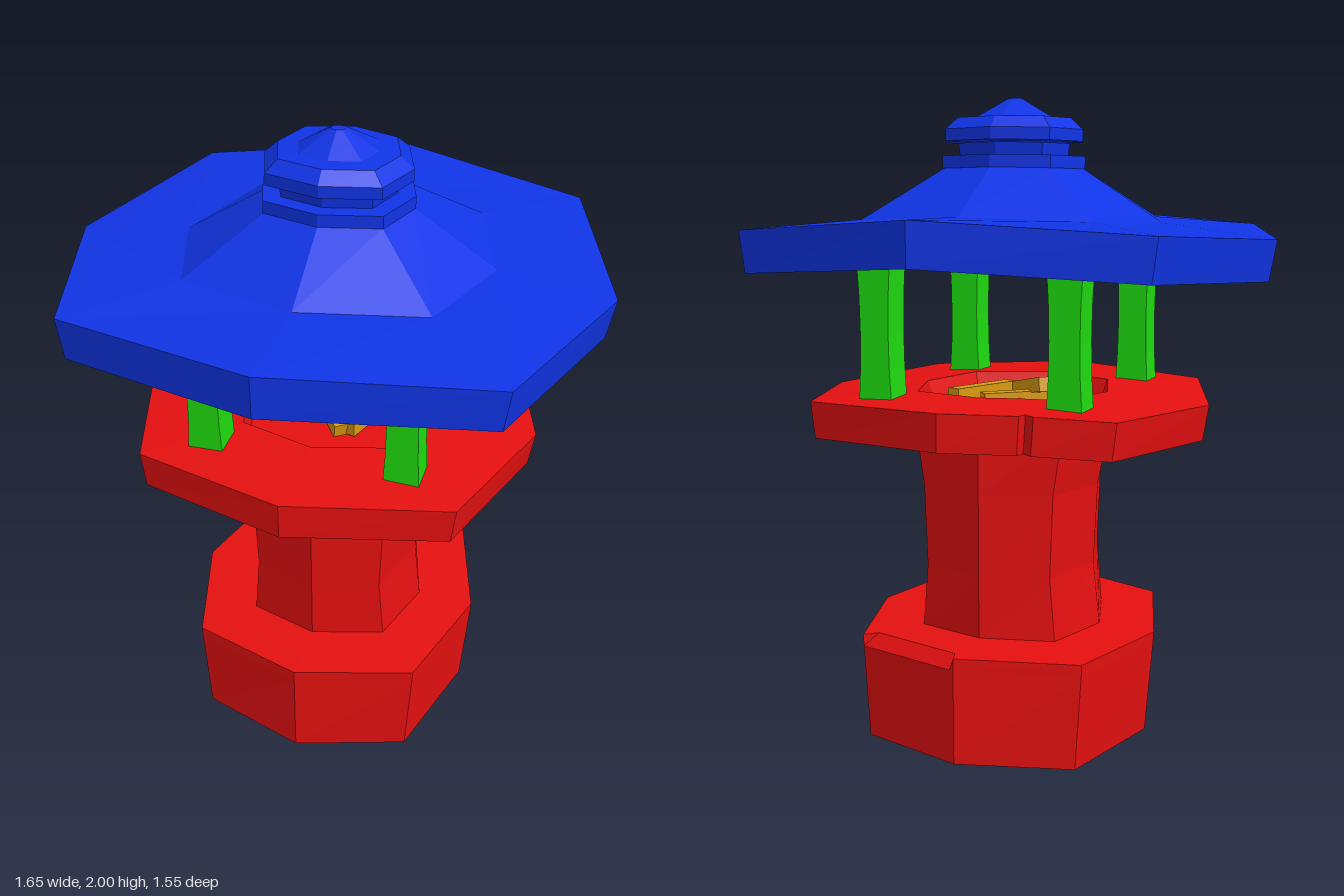
import * as THREE from 'three';

const mat = (color) => new THREE.MeshStandardMaterial({ color, flatShading: true });

// Octagon with corners on the axes
const D = 0.765;
const OCTAGON = [[1, 0], [D, D], [0, 1], [-D, D], [-1, 0], [-D, -D], [0, -1], [D, -D]];

// Octagon with extra points along one edge: each extra is [t, scale]
function splitEdge(edge, extras) {
  const a = OCTAGON[edge], b = OCTAGON[(edge + 1) % 8];
  const pts = extras.map(([t, s]) => [0, 1].map((k) => (a[k] + (b[k] - a[k]) * t) * s));
  return [...OCTAGON.slice(0, edge + 1), ...pts, ...OCTAGON.slice(edge + 1)];
}

// Stack rings [y, radiusX, radiusZ] of an outline; bend lowers points away from x = 0
function loft(name, rings, color, bend, outline = OCTAGON, tweak = null) {
  const n = outline.length, pos = [], idx = [];
  rings.forEach(([y, rx, rz], j) => outline.forEach(([u, v], i) => {
    const p = new THREE.Vector3(u * rx, y, v * rz);
    if (tweak) tweak(p, j, i);
    pos.push(p.x, p.y - bend * p.x * p.x, p.z);
  }));
  for (let j = 0; j < rings.length - 1; j++) {
    for (let i = 0; i < n; i++) {
      const a = j * n + i, b = j * n + (i + 1) % n, c = a + n, d = b + n;
      if (rings[j + 1][1] > 0) idx.push(b, c, d);
      if (rings[j][1] > 0) idx.push(a, c, b);
      else if (rings[j + 1][1] > 0) continue;
    }
  }
  let geo = new THREE.BufferGeometry();
  geo.setAttribute('position', new THREE.Float32BufferAttribute(pos, 3));
  geo.setIndex(idx);
  geo = geo.toNonIndexed();
  geo.computeVertexNormals();
  const mesh = new THREE.Mesh(geo, mat(color));
  mesh.name = name;
  return mesh;
}

export function createModel() {
  const group = new THREE.Group();
  const RED = 0xe61010, BLUE = 0x1034e6, GREEN = 0x1fdc10, GOLD = 0xd99a10;

  // Base block, with one chipped top edge at the back
  const baseOutline = splitEdge(6, [[0.04, 1], [0.96, 1]]);
  group.add(loft('base', [
    [0.02, 0, 0], [0.02, 0.45, 0.5], [0.315, 0.473, 0.5], [0.353, 0.475, 0.5], [0.353, 0, 0],
  ], RED, 0.08, baseOutline, (p, ring, i) => {
    if (ring === 3 && (i === 7 || i === 8)) { p.x *= 0.92; p.z *= 0.92; }
  }));

  // Waisted column
  group.add(loft('column', [
    [0.34, 0.293, 0.305], [0.55, 0.27, 0.305], [0.81, 0.282, 0.305], [1.0, 0.318, 0.305],
  ], RED, 0.08));

  // Platform with a sunken fire bowl and a notch in its back edge
  const platformOutline = splitEdge(5, [[0.46, 1], [0.5, 0.95], [0.54, 1]]);
  group.add(loft('platform', [
    [0.995, 0, 0], [0.995, 0.617, 0.6], [1.108, 0.635, 0.6],
    [1.108, 0.31, 0.3], [1.05, 0.29, 0.28], [1.05, 0, 0],
  ], RED, 0.075, platformOutline));

  // Four posts, narrowed at mid height
  for (const sx of [-1, 1]) for (const sz of [-1, 1]) {
    const geo = new THREE.BoxGeometry(0.11, 0.43, 0.105, 1, 4, 1);
    const p = geo.attributes.position;
    for (let i = 0; i < p.count; i++) {
      const t = p.getY(i) / 0.215;
      p.setX(i, p.getX(i) * (0.85 + 0.15 * t * t));
    }
    geo.computeVertexNormals();
    const post = new THREE.Mesh(geo, mat(GREEN));
    post.position.set(sx * 0.303, 1.297, sz * 0.333);
    post.name = 'post';
    group.add(post);
  }

  // Roof and stepped finial
  group.add(loft('roof', [
    [1.52, 0, 0], [1.52, 0.803, 0.773], [1.648, 0.825, 0.775],
    [1.648, 0.475, 0.44], [1.79, 0.226, 0.204],
  ], BLUE, 0.1));
  group.add(loft('finial', [
    [1.79, 0.23, 0.208], [1.828, 0.23, 0.208], [1.828, 0.175, 0.16], [1.865, 0.18, 0.165],
    [1.868, 0.145, 0.13], [1.872, 0.222, 0.198], [1.908, 0.222, 0.198], [1.942, 0.182, 0.162],
    [1.945, 0.12, 0.11], [1.975, 0.065, 0.06], [2.0, 0.022, 0.02], [2.0, 0, 0],
  ], BLUE, 0.1));

  // Firewood lying in the bowl: start, end
  const sticks = [
    [[-0.15, 1.132, -0.12], [0.05, 1.07, 0.14]],
    [[0.16, 1.08, -0.13], [0.07, 1.075, 0.13]],
    [[0.05, 1.075, -0.15], [-0.17, 1.075, 0.04]],
  ];
  for (const [from, to] of sticks) {
    const a = new THREE.Vector3(...from), b = new THREE.Vector3(...to);
    const stick = new THREE.Mesh(new THREE.BoxGeometry(0.045, 0.045, a.distanceTo(b)), mat(GOLD));
    stick.position.copy(a).lerp(b, 0.5);
    stick.lookAt(b);
    stick.name = 'firewood';
    group.add(stick);
  }
  return group;
}
